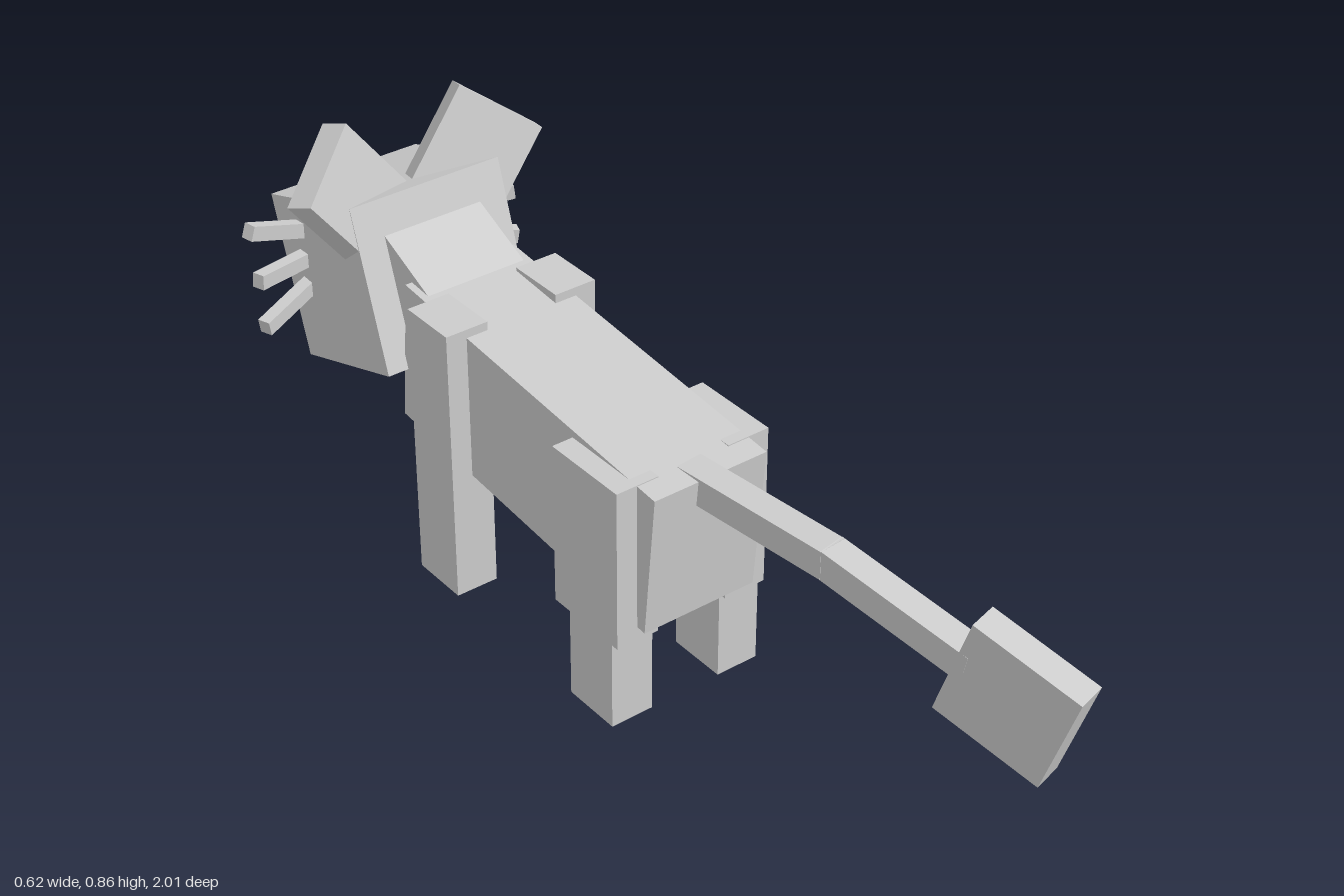
import * as THREE from 'three';

export function createModel() {
  const model = new THREE.Group();
  const mat = new THREE.MeshStandardMaterial({ color: 0xcccccc, flatShading: true });

  // Box by size and centre, tilted about x
  function box(name, size, centre, tilt = 0) {
    const mesh = new THREE.Mesh(new THREE.BoxGeometry(...size), mat);
    mesh.name = name;
    mesh.position.set(...centre);
    mesh.rotation.x = tilt;
    model.add(mesh);
    return mesh;
  }

  // Box running from point a to point b
  function beam(name, a, b, width, height) {
    const from = new THREE.Vector3(...a);
    const to = new THREE.Vector3(...b);
    const centre = from.clone().add(to).multiplyScalar(0.5);
    const mesh = box(name, [width, height, from.distanceTo(to)], centre.toArray());
    mesh.lookAt(to);
    return mesh;
  }

  // Trunk, neck and head
  box('body', [0.25, 0.306, 0.77], [0, 0.406, -0.19], 0.091);
  box('neck', [0.22, 0.2, 0.25], [0, 0.541, -0.642], 0.43);
  box('head', [0.34, 0.337, 0.31], [0, 0.514, -0.765], -0.316);
  box('muzzle', [0.22, 0.12, 0.06], [0, 0.42, -0.97]);

  // Ear axes: along the top edge, up the ear, and through its thickness
  const along = new THREE.Vector3(0.135, -0.1, 0.08).normalize();
  const up = new THREE.Vector3(0.61, 0.79, -0.03);
  const through = along.clone().cross(up).normalize();
  up.crossVectors(through, along);
  const earTurn = new THREE.Quaternion().setFromRotationMatrix(
    new THREE.Matrix4().makeBasis(along, up, through));

  for (const [side, s] of [['left', 1], ['right', -1]]) {
    // Legs
    box(side + 'FrontLeg', [0.092, 0.593, 0.127], [s * 0.124, 0.2965, -0.421]);
    box(side + 'HindThigh', [0.092, 0.34, 0.188], [s * 0.124, 0.36, 0.064]);
    box(side + 'HindShin', [0.092, 0.19, 0.127], [s * 0.124, 0.095, 0.078]);

    // Ear, mirrored for the other side
    const ear = box(side + 'Ear', [0.186, 0.22, 0.059], [s * 0.139, 0.719, -0.714]);
    ear.quaternion.set(earTurn.x, s * earTurn.y, s * earTurn.z, earTurn.w);

    // Whiskers: root y and z, tip y and z
    const whiskers = [
      [0.59, -0.863, 0.645, -0.832],
      [0.53, -0.857, 0.546, -0.81],
      [0.473, -0.85, 0.447, -0.8],
    ];
    for (const [ry, rz, ty, tz] of whiskers) {
      beam(side + 'Whisker', [s * 0.16, ry, rz], [s * 0.3, ty, tz], 0.027, 0.03);
    }
  }

  // Tail bending to one side, with a large tip
  beam('tailBase', [-0.005, 0.5, 0.15], [0.03, 0.5, 0.495], 0.058, 0.058);
  beam('tailEnd', [0.029, 0.501, 0.485], [0.085, 0.438, 0.79], 0.058, 0.058);
  beam('tailTip', [0.081, 0.435, 0.765], [0.135, 0.37, 0.967], 0.062, 0.212);

  return model;
}
